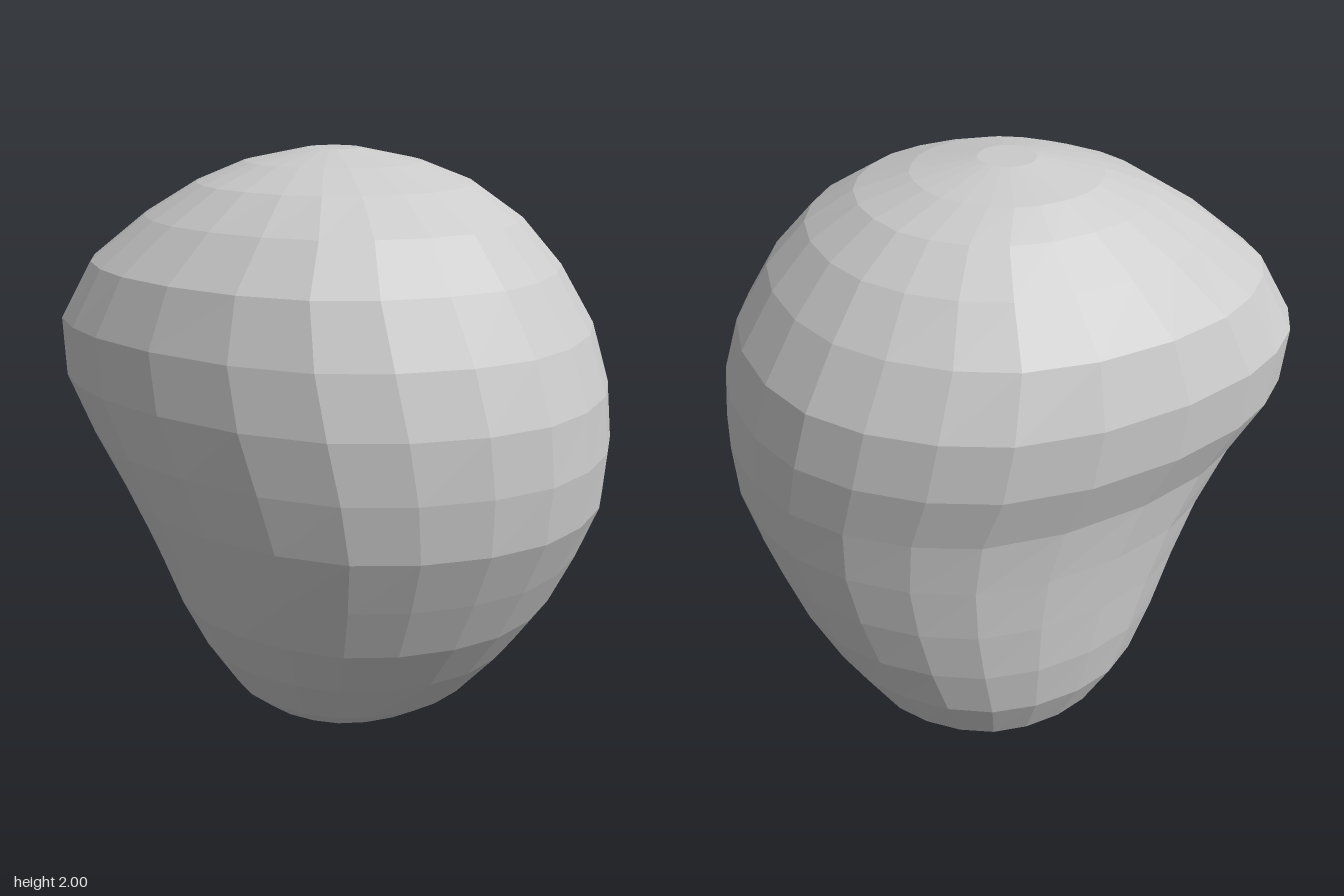
import * as THREE from 'three';

const SIDES = 24;

// Cross-sections from bottom to top: y, xMin, xMax, zMin, zMax, bulge of the (-x, -z) corner
const SECTIONS = [
  [0.04, -0.10, 0.26, -0.25, 0.04, 1.00],
  [0.14, -0.28, 0.44, -0.42, 0.23, 1.00],
  [0.22, -0.37, 0.51, -0.52, 0.34, 1.00],
  [0.40, -0.49, 0.61, -0.61, 0.50, 1.00],
  [0.58, -0.58, 0.68, -0.645, 0.63, 1.03],
  [0.76, -0.64, 0.73, -0.665, 0.72, 1.07],
  [0.94, -0.70, 0.765, -0.69, 0.80, 1.11],
  [1.12, -0.75, 0.78, -0.73, 0.82, 1.16],
  [1.30, -0.785, 0.78, -0.81, 0.81, 1.18],
  [1.48, -0.78, 0.75, -0.82, 0.75, 1.18],
  [1.66, -0.71, 0.65, -0.75, 0.65, 1.14],
  [1.80, -0.57, 0.53, -0.61, 0.52, 1.11],
  [1.90, -0.43, 0.40, -0.47, 0.36, 1.08],
  [1.96, -0.28, 0.26, -0.36, 0.19, 1.04],
  [2.00, -0.10, 0.07, -0.17, 0.00, 1.00],
];

// Closed, slightly lopsided oval through eight control points
function sectionPoints([y, x0, x1, z0, z1, bulge]) {
  const cx = (x0 + x1) / 2, cz = (z0 + z1) / 2;
  const a = (x1 - x0) / 2, b = (z1 - z0) / 2;
  const shift = (bulge - 1) * 1.5;
  const flat = 1 - (bulge - 1) * 0.3;
  const at = (x, z) => new THREE.Vector3(x, y, z);
  const corner = (sx, sz, k) => at(cx + sx * a * k * Math.SQRT1_2, cz + sz * b * k * Math.SQRT1_2);
  const curve = new THREE.CatmullRomCurve3([
    at(x1, cz), corner(1, 1, 1.01),
    at(cx + shift * 0.2, z1), corner(-1, 1, flat),
    at(x0, cz - shift * b), corner(-1, -1, bulge),
    at(cx - shift * a, z0), corner(1, -1, flat),
  ], true);
  return Array.from({ length: SIDES }, (_, i) => curve.getPoint(i / SIDES));
}

// Faceted skin lofted through the sections and closed at both poles
function loft(sections, bottom, top) {
  const pos = [], idx = [];
  for (const s of sections) for (const p of sectionPoints(s)) pos.push(p.x, p.y, p.z);
  const n = sections.length, low = n * SIDES, high = low + 1;
  pos.push(...bottom, ...top);
  for (let i = 0; i < SIDES; i++) {
    const j = (i + 1) % SIDES, r = (n - 1) * SIDES;
    for (let k = 0; k < n - 1; k++) {
      const a = k * SIDES + i, b = k * SIDES + j;
      idx.push(a, a + SIDES, b, b, a + SIDES, b + SIDES);
    }
    idx.push(low, i, j, high, r + j, r + i);
  }
  const indexed = new THREE.BufferGeometry();
  indexed.setAttribute('position', new THREE.Float32BufferAttribute(pos, 3));
  indexed.setIndex(idx);
  const geometry = indexed.toNonIndexed();
  geometry.computeVertexNormals();
  return geometry;
}

export function createModel() {
  const group = new THREE.Group();
  group.name = 'boulder';
  const material = new THREE.MeshStandardMaterial({ color: 0xcccccc, flatShading: true });

  // Single rounded body, narrower at the foot
  const body = new THREE.Mesh(loft(SECTIONS, [0.08, 0, -0.12], [-0.02, 2, -0.08]), material);
  body.name = 'boulderBody';
  group.add(body);
  return group;
}
